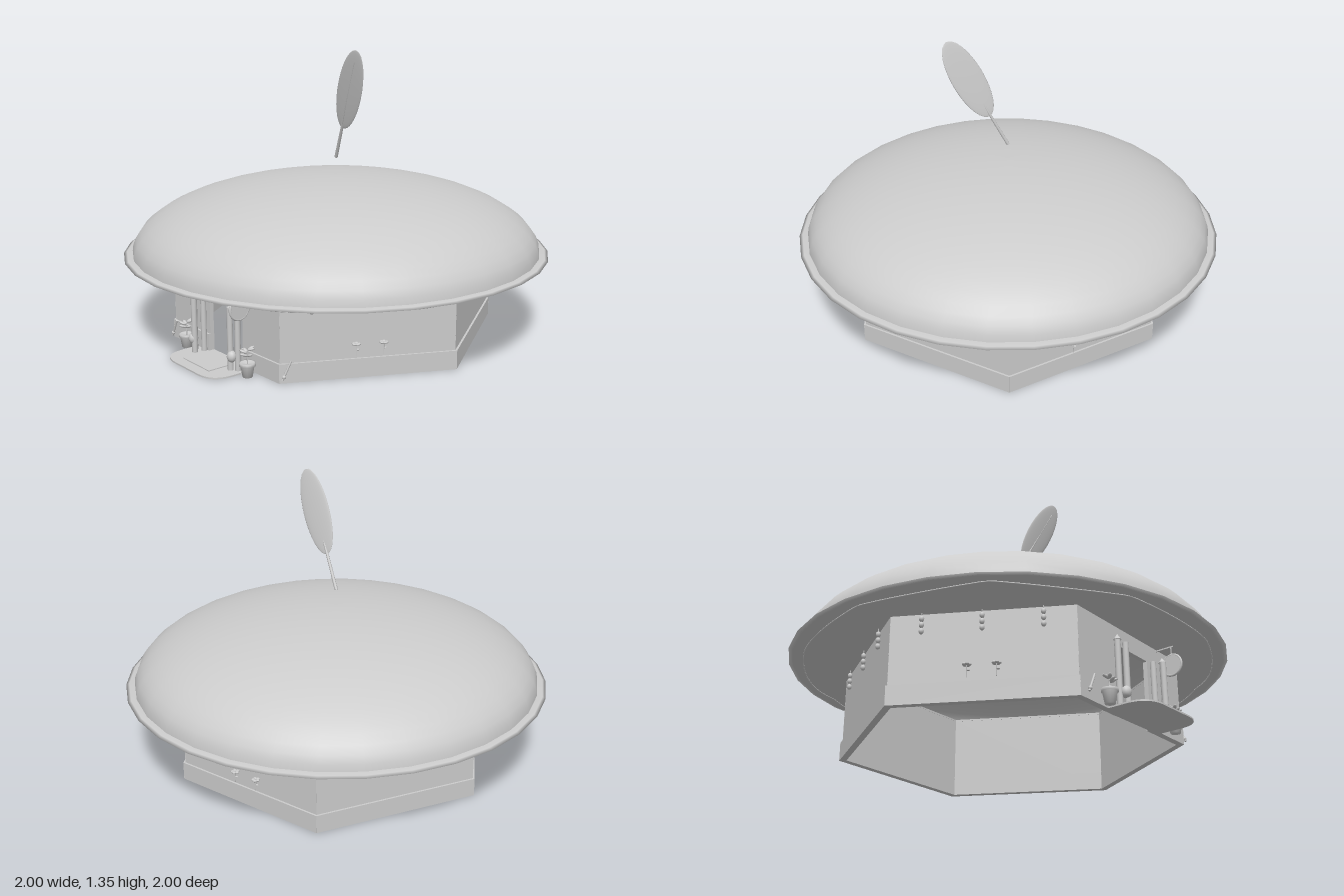
import * as THREE from 'three';

const plaster = new THREE.MeshStandardMaterial({ color: 0xcccccc, side: THREE.DoubleSide });
plaster.name = 'pale grey';

function add(parent, name, geometry, x = 0, y = 0, z = 0) {
  const mesh = new THREE.Mesh(geometry, plaster);
  mesh.name = name;
  mesh.position.set(x, y, z);
  parent.add(mesh);
  return mesh;
}

function group(parent, name, x = 0, y = 0, z = 0) {
  const g = new THREE.Group();
  g.name = name;
  g.position.set(x, y, z);
  parent.add(g);
  return g;
}

const lathe = (pts, sides) => new THREE.LatheGeometry(pts.map(p => new THREE.Vector2(...p)), sides);
const TURN = THREE.MathUtils.degToRad(-1.8);
const APOTHEM = 0.675;

// Upright slab centred on x, optionally notched by the doorway
function slab(width, height, depth, door) {
  const w = width / 2, l = -0.11, r = 0.13, top = Math.min(0.31, height);
  const s = new THREE.Shape();
  const outline = (pts) => {
    pts.forEach(([x, y], i) => (i ? s.lineTo(x, y) : s.moveTo(x, y)));
  };
  if (door) outline([[-w, 0], [l, 0], [l, top], [r, top], [r, 0], [w, 0], [w, height], [-w, height]]);
  else outline([[-w, 0], [w, 0], [w, height], [-w, height]]);
  return new THREE.ExtrudeGeometry(s, { depth, bevelEnabled: false });
}

// Base trim, cut in two by the doorway
function addSkirt(parent, door) {
  const spans = door ? [[-0.39, -0.11], [0.13, 0.39]] : [[-0.39, 0.39]];
  for (const [a, b] of spans)
    add(parent, 'baseTrim', new THREE.BoxGeometry(b - a, 0.085, 0.03), (a + b) / 2, 0.0425, APOTHEM - 0.015);
}

function addBeads(parent, u) {
  const g = group(parent, 'beadString', u, 0, APOTHEM + 0.006);
  add(g, 'beadCord', new THREE.CylinderGeometry(0.002, 0.002, 0.09, 5), 0, 0.355, 0);
  [0.365, 0.338, 0.31].forEach((y) => {
    add(g, 'bead', new THREE.SphereGeometry(0.011, 8, 6), 0, y, 0).scale.y = 1.2;
  });
}

function addFlower(parent, u) {
  const g = group(parent, 'wallFlower', u, 0.15, APOTHEM + 0.006);
  add(g, 'flowerStem', new THREE.CylinderGeometry(0.002, 0.002, 0.055, 5), 0, -0.025, 0);
  for (let i = 0; i < 5; i++) {
    const a = (i / 5) * Math.PI * 2;
    const petal = add(g, 'petal', new THREE.SphereGeometry(0.01, 7, 5), Math.cos(a) * 0.011, 0.003, Math.sin(a) * 0.011);
    petal.scale.y = 0.55;
  }
  add(g, 'leaf', new THREE.SphereGeometry(0.008, 6, 4), 0.007, -0.022, 0).scale.y = 0.4;
}

function addWalls(model) {
  for (let k = 0; k < 6; k++) {
    const wall = group(model, 'wall' + k);
    wall.rotation.y = Math.PI / 2 - (TURN + (k + 0.5) * Math.PI / 3);
    const front = k === 1;
    add(wall, 'wallPanel', slab(0.77, 0.4, 0.02, front), 0, 0, APOTHEM - 0.029);
    addSkirt(wall, front);
    // Beads on the four side walls, flowers on the front sides and back
    if (k !== 1 && k !== 4) [0.25, 0, -0.25].forEach(u => addBeads(wall, u));
    if (k === 0 || k === 2 || k === 4) [0.06, -0.06].forEach(u => addFlower(wall, u));
    if (front) {
      // Little frames on the inside, either side of the doorway
      for (const x of [-0.18, 0.17]) {
        const frame = group(wall, 'innerFrame', x, 0.27, APOTHEM - 0.035);
        for (const s of [-1, 1]) {
          add(frame, 'frameSide', new THREE.BoxGeometry(0.005, 0.05, 0.012), s * 0.015, 0, 0);
          add(frame, 'frameEnd', new THREE.BoxGeometry(0.035, 0.005, 0.012), 0, s * 0.025, 0);
        }
      }
    }
  }
}

function addRoof(model) {
  const roof = group(model, 'roof');
  const profile = [];
  for (let i = 0; i <= 16; i++) {
    const a = (i / 16) * Math.PI / 2;
    profile.push([0.96 * Math.cos(a), 0.4 + 0.345 * Math.sin(a)]);
  }
  add(roof, 'dome', lathe(profile, 32));
  add(roof, 'brim', lathe([[0.98, 0.39], [1, 0.395], [0.985, 0.402], [0.95, 0.405]], 32));

  // Flat underside with a six-sided hole above the room
  const disc = new THREE.Shape().absarc(0, 0, 0.985, 0, Math.PI * 2);
  const hole = new THREE.Path();
  for (let k = 0; k <= 6; k++) {
    const a = TURN - k * Math.PI / 3;
    hole[k ? 'lineTo' : 'moveTo'](0.745 * Math.cos(a), 0.745 * Math.sin(a));
  }
  disc.holes.push(hole);
  add(roof, 'underside', new THREE.ShapeGeometry(disc, 16).rotateX(Math.PI / 2), 0, 0.391, 0);

  // Cord hanging in swags under the brim
  const pts = [];
  for (let i = 0; i < 80; i++) {
    const a = (i / 80) * Math.PI * 2;
    pts.push(new THREE.Vector3(0.93 * Math.cos(a), 0.39 - 0.018 * Math.abs(Math.sin(a * 5)), 0.93 * Math.sin(a)));
  }
  add(roof, 'swagCord', new THREE.TubeGeometry(new THREE.CatmullRomCurve3(pts, true), 160, 0.0025, 5, true));
}

function addLeaf(model) {
  const sprig = group(model, 'roofLeaf', 0, 0.83, 0);
  sprig.rotation.set(0.19, 0, -0.46);
  add(sprig, 'stem', new THREE.CylinderGeometry(0.006, 0.008, 0.24, 8), 0, 0.12, 0);
  add(sprig, 'blade', new THREE.SphereGeometry(1, 24, 16), 0, 0.38, 0).scale.set(0.077, 0.208, 0.007);
  add(sprig, 'midrib', new THREE.CylinderGeometry(0.002, 0.005, 0.34, 6), 0, 0.36, 0.005);
}

function addPorch(model) {
  // Doorstep with rounded front corners, and a mat on it
  const s = new THREE.Shape();
  s.moveTo(-0.18, -0.65);
  s.lineTo(0.22, -0.65);
  s.lineTo(0.22, -0.76);
  s.quadraticCurveTo(0.22, -0.87, 0.11, -0.87);
  s.lineTo(-0.07, -0.87);
  s.quadraticCurveTo(-0.18, -0.87, -0.18, -0.76);
  const step = new THREE.ExtrudeGeometry(s, { depth: 0.007, bevelEnabled: false }).rotateX(-Math.PI / 2);
  add(model, 'doorstep', step);
  add(model, 'doormat', new THREE.BoxGeometry(0.2, 0.005, 0.1), 0.02, 0.009, 0.77);

  for (const s of [-1, 1]) {
    const side = group(model, s < 0 ? 'rightEntry' : 'leftEntry', 0.022, 0, 0);
    // Pointed posts beside the doorway
    [[0.167, 0.715, 0.3], [0.14, 0.735, 0.29], [0.132, 0.69, 0.3]].forEach(([x, z, h], i) => {
      add(side, 'post', new THREE.CylinderGeometry(0.013, 0.013, h, 10), s * x, h / 2, z);
      if (i === 0) add(side, 'postTip', new THREE.ConeGeometry(0.017, 0.025, 10), s * x, h + 0.0125, z);
    });
    add(side, 'postBall', new THREE.SphereGeometry(0.022, 12, 8), s * 0.15, 0.07, 0.735).scale.y = 1.2;

    // Potted plant
    const pot = group(side, 'pottedPlant', s * 0.237, 0, 0.715);
    add(pot, 'pot', lathe([[0, 0], [0.022, 0], [0.031, 0.05], [0.036, 0.05], [0.036, 0.063], [0.03, 0.063], [0, 0.056]], 14));
    add(pot, 'plantStem', new THREE.CylinderGeometry(0.003, 0.003, 0.06, 6), 0, 0.085, 0);
    for (let i = 0; i < 7; i++) {
      const a = i * 2.4;
      const leaf = add(pot, 'plantLeaf', new THREE.SphereGeometry(0.018, 8, 5),
        Math.cos(a) * 0.018, 0.1 + (i % 3) * 0.012, Math.sin(a) * 0.018);
      leaf.scale.set(1, 0.3, 0.5);
      leaf.rotation.set(0, -a, 0.35);
    }
  }

  // Canes leaning at the front corners
  for (const [x, z, rx, rz] of [[-0.325, 0.71, 0, -0.45], [0.435, 0.64, -0.45, -0.12]]) {
    const cane = group(model, 'leaningCane', x, 0.06, z);
    cane.rotation.set(rx, 0, rz);
    add(cane, 'caneStick', new THREE.CylinderGeometry(0.005, 0.005, 0.09, 6));
    add(cane, 'caneKnob', new THREE.SphereGeometry(0.009, 8, 6), 0, -0.03, 0);
  }

  // Round hanging board seen from either side of the doorway
  const board = group(model, 'hangingBoard', 0.235, 0.3, 0.735);
  add(board, 'boardDisc', new THREE.CylinderGeometry(0.047, 0.047, 0.01, 24).rotateZ(Math.PI / 2));
  add(board, 'boardRing', new THREE.TorusGeometry(0.047, 0.006, 8, 24).rotateY(Math.PI / 2));
  add(board, 'boardHanger', new THREE.CylinderGeometry(0.003, 0.003, 0.04, 6), 0, 0.068, 0);
  add(board, 'boardArm', new THREE.BoxGeometry(0.006, 0.006, 0.09), 0, 0.085, -0.035);
}

export function createModel() {
  const model = new THREE.Group();
  model.name = 'roundRoofCottage';
  addWalls(model);
  addRoof(model);
  addLeaf(model);
  addPorch(model);
  return model;
}
